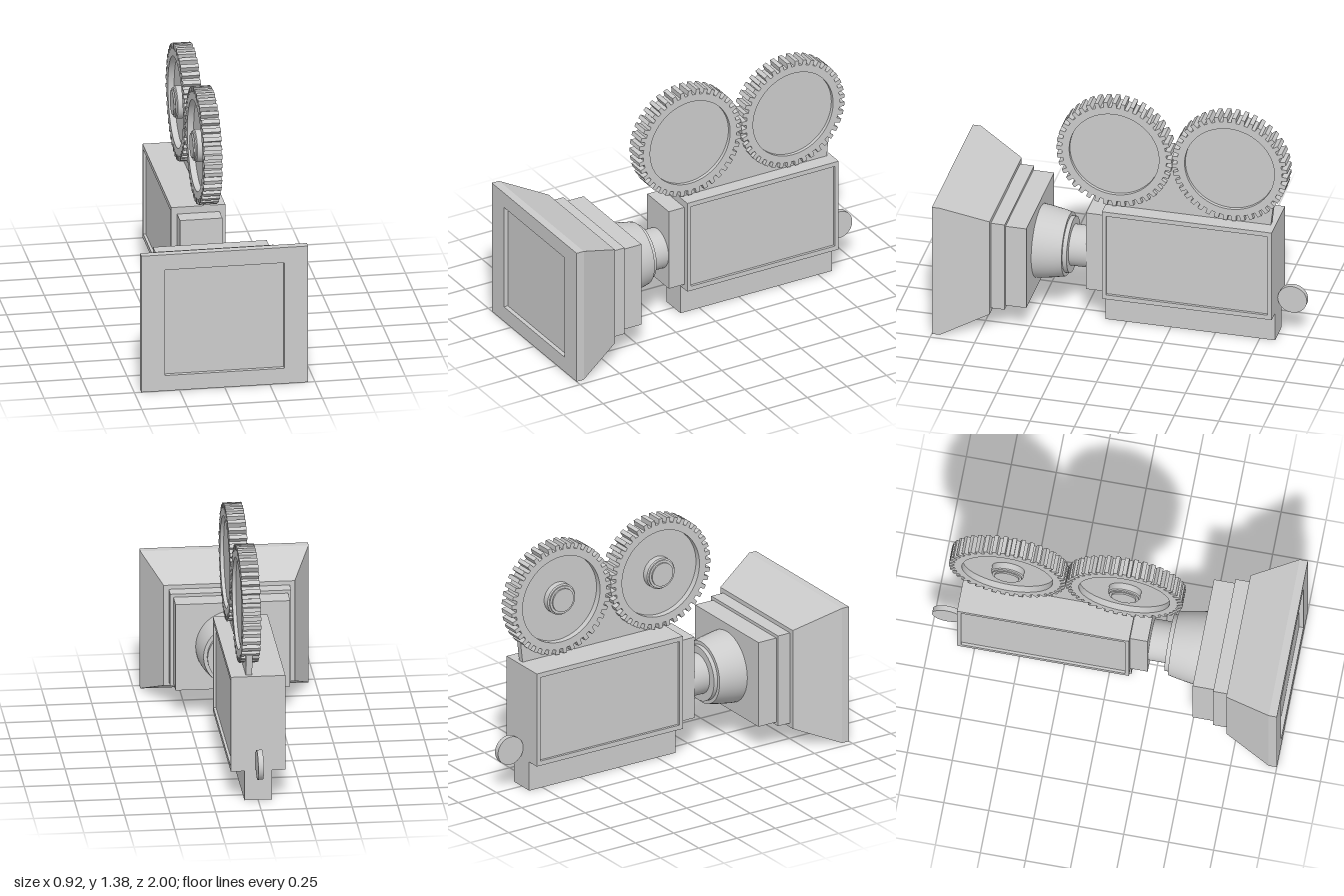
import * as THREE from 'three';
import { toCreasedNormals } from 'three/addons/utils/BufferGeometryUtils.js';

const material = new THREE.MeshStandardMaterial({ color: 0xcccccc });

function add(parent, name, geometry, x = 0, y = 0, z = 0) {
  const mesh = new THREE.Mesh(geometry, material);
  mesh.name = name;
  mesh.position.set(x, y, z);
  parent.add(mesh);
  return mesh;
}

// Capped loft through rectangles [z, halfWidth, halfHeight], flat shaded
function rectLoft(sections) {
  const rings = sections.map(([z, w, h]) => [[-w, -h, z], [w, -h, z], [w, h, z], [-w, h, z]]);
  const pos = [];
  const quad = (a, b, c, d) => [a, b, c, a, c, d].forEach((p) => pos.push(...p));
  for (let i = 0; i < rings.length - 1; i++) {
    for (let k = 0; k < 4; k++) {
      const n = (k + 1) % 4;
      quad(rings[i][k], rings[i][n], rings[i + 1][n], rings[i + 1][k]);
    }
  }
  const first = rings[0], last = rings[rings.length - 1];
  quad(first[3], first[2], first[1], first[0]);
  quad(last[0], last[1], last[2], last[3]);
  const geometry = new THREE.BufferGeometry();
  geometry.setAttribute('position', new THREE.Float32BufferAttribute(pos, 3));
  geometry.computeVertexNormals();
  return geometry;
}

// Turned part from [radius, height] points
function turned(points) {
  const lathe = new THREE.LatheGeometry(points.map((p) => new THREE.Vector2(...p)), 48);
  return toCreasedNormals(lathe, 0.5);
}

// Toothed ring, 0.1 thick along x
function toothedRing(teeth, outer, root, inner) {
  const shape = new THREE.Shape();
  const step = (Math.PI * 2) / teeth;
  for (let i = 0; i < teeth; i++) {
    [[-0.29, root], [-0.23, outer], [0.23, outer], [0.29, root]].forEach(([f, r], k) => {
      const a = (i + f) * step;
      const method = i + k === 0 ? 'moveTo' : 'lineTo';
      shape[method](r * Math.cos(a), r * Math.sin(a));
    });
  }
  shape.closePath();
  shape.holes.push(new THREE.Path().absarc(0, 0, inner, 0, Math.PI * 2, true));
  const geometry = new THREE.ExtrudeGeometry(shape, { depth: 0.1, bevelEnabled: false, curveSegments: 32 });
  return toCreasedNormals(geometry.rotateY(Math.PI / 2), 0.4);
}

function makeReel(name, z, turn) {
  const reel = new THREE.Group();
  reel.name = name;
  reel.position.set(-0.01, 1.055, z);
  add(reel, 'toothedRim', toothedRing(40, 0.325, 0.295, 0.253)).rotation.x = turn;
  add(reel, 'reelWeb', new THREE.CylinderGeometry(0.256, 0.256, 0.045, 64).rotateZ(Math.PI / 2), 0.0575);
  // Stepped hub on the right-hand face
  const hub = turned([[0.09, -0.04], [0.09, 0], [0.082, 0.005], [0.082, 0.012], [0.068, 0.012], [0.068, 0.02], [0, 0.02]]);
  add(reel, 'reelHub', hub.rotateZ(Math.PI / 2));
  return reel;
}

export function createModel() {
  const model = new THREE.Group();
  model.name = 'filmCamera';

  // Body with a recessed panel on both sides
  const body = rectLoft([
    [-0.135, 0.455, 0.248], [-0.15, 0.455, 0.248], [-0.15, 0.478, 0.275],
    [0.15, 0.478, 0.275], [0.15, 0.455, 0.248], [0.135, 0.455, 0.248],
  ]).rotateY(Math.PI / 2);
  add(model, 'body', body, 0, 0.445, -0.358);
  add(model, 'bodyBase', new THREE.BoxGeometry(0.15, 0.18, 0.956), 0, 0.09, -0.358);
  add(model, 'lensMount', new THREE.BoxGeometry(0.235, 0.48, 0.11), 0, 0.44, 0.163);

  // Lens barrel, widening towards the hood
  const lens = turned([
    [0, 0.2], [0.115, 0.2], [0.115, 0.318], [0.158, 0.318], [0.158, 0.342], [0.178, 0.342],
    [0.188, 0.39], [0.197, 0.44], [0.203, 0.48], [0.205, 0.51], [0, 0.51],
  ]);
  add(model, 'lens', lens.rotateX(Math.PI / 2), 0, 0.4, 0);

  // Stepped rectangular hood with a shallow front recess
  add(model, 'lensHood', rectLoft([
    [0.505, 0.315, 0.25], [0.622, 0.315, 0.25], [0.622, 0.332, 0.268], [0.7, 0.332, 0.268],
    [0.7, 0.36, 0.292], [0.955, 0.462, 0.4], [1, 0.462, 0.4],
    [1, 0.33, 0.31], [0.975, 0.33, 0.31],
  ]), 0, 0.4, 0);

  // Bracket carrying the reels
  const outline = [[0.12, 0.7], [0.12, 0.84], [-0.255, 1.02], [-0.83, 0.9], [-0.808, 0.7]];
  const bracket = new THREE.Shape(outline.map(([z, y]) => new THREE.Vector2(-z, y)));
  add(model, 'reelBracket', new THREE.ExtrudeGeometry(bracket, { depth: 0.035, bevelEnabled: false })
    .rotateY(Math.PI / 2), 0.03);

  model.add(makeReel('frontReel', 0.067, 0));
  model.add(makeReel('rearReel', -0.583, Math.PI / 40));

  // Disc knob at the back
  const knob = new THREE.CylinderGeometry(0.082, 0.082, 0.03, 40).rotateZ(Math.PI / 2);
  add(model, 'rearKnob', knob, 0, 0.235, -0.918);

  return model;
}
